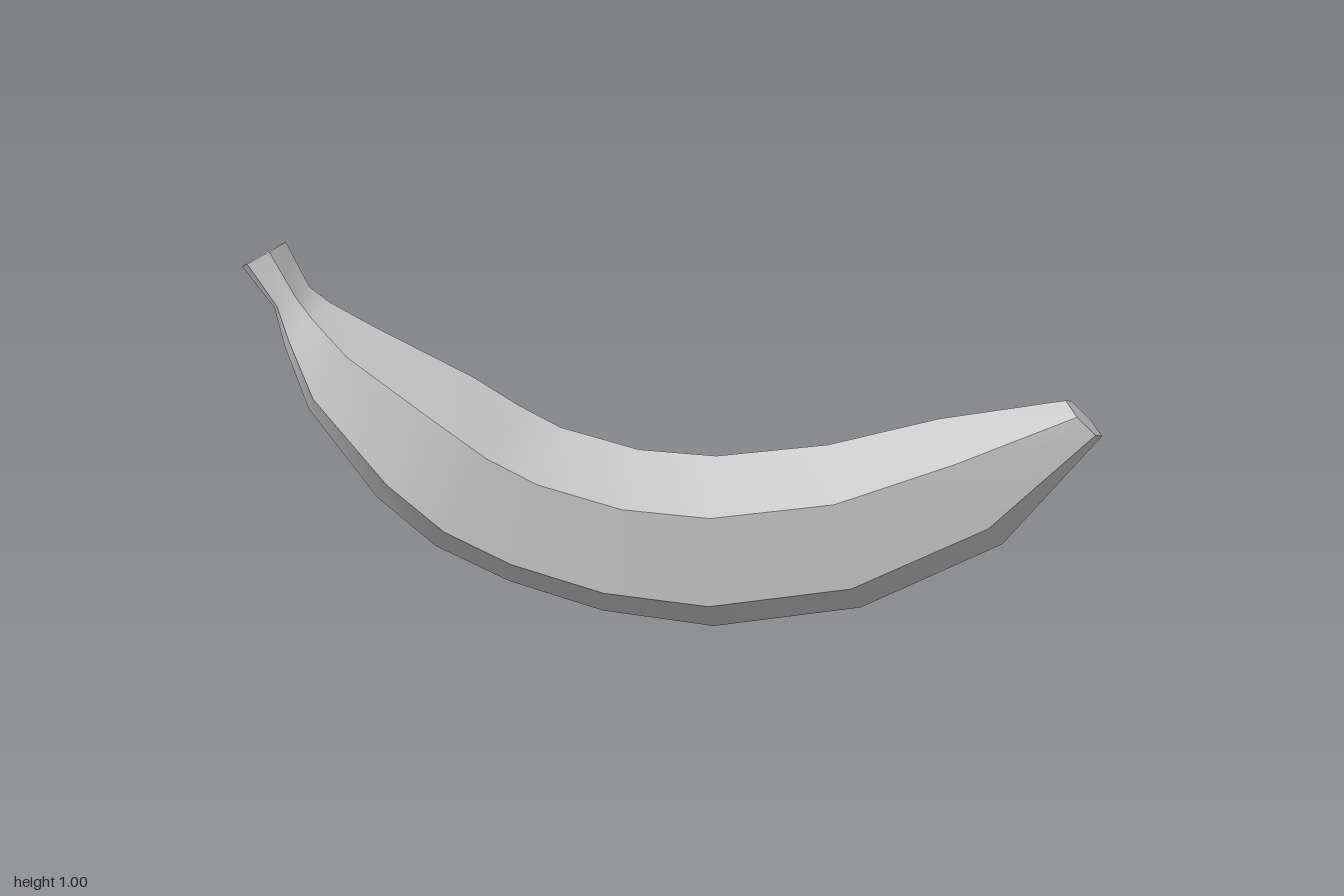
import * as THREE from 'three';

// Hexagonal stations along the fruit, stem to tip:
// [top along, top height, bottom along, bottom height, sideways centre, half width]
const STATIONS = [
  [-1.004, 1.0, -1.122, 0.935, 0.006, 0.07],
  [-0.945, 0.885, -1.04, 0.83, 0.012, 0.073],
  [-0.89, 0.846, -1.015, 0.73, 0.02, 0.092],
  [-0.775, 0.785, -0.957, 0.565, 0.025, 0.155],
  [-0.523, 0.66, -0.782, 0.33, 0.03, 0.215],
  [-0.4, 0.585, -0.627, 0.2, 0.033, 0.228],
  [-0.293, 0.53, -0.434, 0.11, 0.035, 0.23],
  [-0.09, 0.475, -0.187, 0.035, 0.035, 0.232],
  [0.111, 0.462, 0.106, 0.0, 0.035, 0.232],
  [0.398, 0.495, 0.49, 0.058, 0.025, 0.227],
  [0.68, 0.567, 0.852, 0.236, 0.015, 0.18],
  [1.0, 0.618, 1.096, 0.526, 0.002, 0.098],
];

// Six ridges: [share of the way from top to bottom, sideways factor]
const RIDGES = [[0, 0], [0.22, 1], [0.72, 1], [1, 0], [0.76, -1], [0.26, -1]];

// The fruit lies diagonally across the ground plane
const AX = 0.886, AZ = -0.463;

function ringAt([ts, ty, bs, by, centre, half]) {
  return RIDGES.map(([t, side]) => {
    const s = ts + (bs - ts) * t;
    const n = centre + half * side;
    return [s * AX - n * AZ, ty + (by - ty) * t, s * AZ + n * AX];
  });
}

function meshFrom(name, points, index) {
  const geometry = new THREE.BufferGeometry();
  geometry.setAttribute('position', new THREE.Float32BufferAttribute(points.flat(), 3));
  geometry.setIndex(index);
  geometry.computeVertexNormals();
  const mesh = new THREE.Mesh(geometry, new THREE.MeshStandardMaterial({ color: 0xcccccc }));
  mesh.name = name;
  return mesh;
}

export function createModel() {
  const group = new THREE.Group();
  group.name = 'banana';
  const rings = STATIONS.map(ringAt);

  // Peel: each face strip has its own vertices, smooth lengthwise and sharp at the ridges
  const points = [], index = [];
  for (let k = 0; k < 6; k++) {
    const base = points.length;
    rings.forEach((ring, i) => {
      points.push(ring[k], ring[(k + 1) % 6]);
      if (i === 0) return;
      const a = base + 2 * (i - 1);
      index.push(a, a + 1, a + 3, a, a + 3, a + 2);
    });
  }
  group.add(meshFrom('peel', points, index));

  // Flat hexagonal ends
  const fan = [0, 1, 2, 0, 2, 3, 0, 3, 4, 0, 4, 5];
  group.add(meshFrom('stemEnd', [...rings[0]].reverse(), fan));
  group.add(meshFrom('tipEnd', rings[rings.length - 1], fan));
  return group;
}
